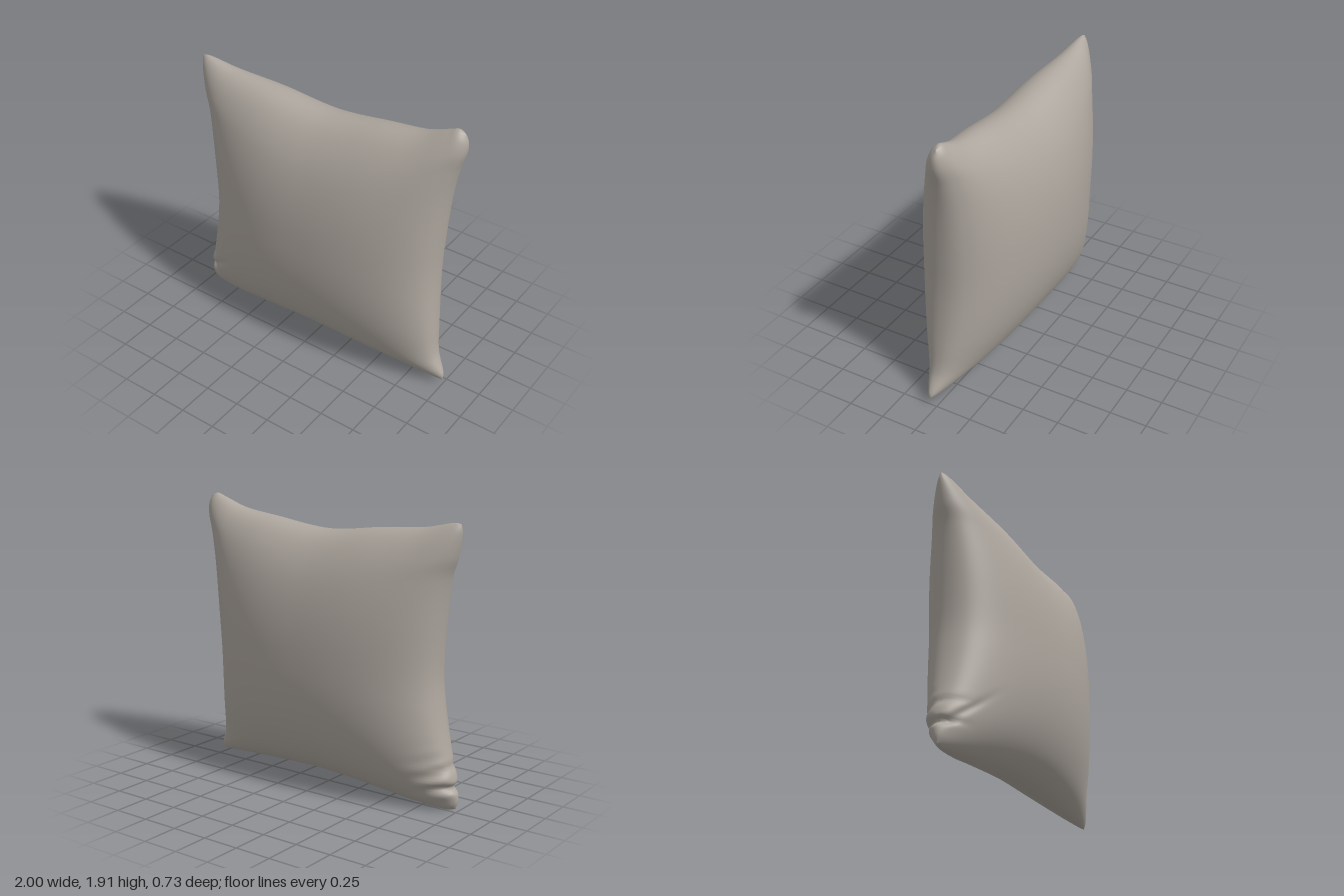
import * as THREE from 'three';
import { mergeVertices } from 'three/addons/utils/BufferGeometryUtils.js';

const N = 110; // grid cells per side
const HALF_DEPTH = 0.363;

const curve = (pts) => new THREE.CatmullRomCurve3(pts.map(([x, y]) => new THREE.Vector3(x, y, 0)));
const bell = (d, w) => Math.exp(-(d * d) / (w * w));

// Corners of the seam
const TL = [-0.99, 1.835], TR = [0.968, 1.895], BL = [-0.985, 0.018], BR = [0.995, 0.037];

// Seam outline, one curve per side
const top = curve([TL, [-0.955, 1.842], [-0.75, 1.803], [-0.4, 1.775], [-0.15, 1.745], [0, 1.737],
  [0.15, 1.748], [0.4, 1.785], [0.7, 1.832], [0.86, 1.892], [0.92, 1.914], TR]);
const bottom = curve([BL, [-0.93, 0.004], [-0.7, 0.017], [-0.45, 0.048], [0, 0.087],
  [0.4, 0.079], [0.7, 0.06], [0.95, 0.039], BR]);
const left = curve([BL, [-1, 0.07], [-0.985, 0.2], [-0.93, 0.38], [-0.875, 0.65], [-0.853, 0.86],
  [-0.873, 1.18], [-0.92, 1.5], [-0.965, 1.63], [-0.995, 1.79], TL]);
const right = curve([BR, [0.998, 0.075], [0.935, 0.21], [0.905, 0.42], [0.877, 0.8], [0.885, 1.1],
  [0.915, 1.45], [0.95, 1.64], [0.987, 1.77], [0.988, 1.84], TR]);

// Blend the four edge curves into a sheet
function sheetPoint(s, t, edges, corners) {
  const { b, tp, l, r } = edges, [bl, br, tl, tr] = corners;
  return new THREE.Vector3()
    .addScaledVector(b, 1 - t).addScaledVector(tp, t)
    .addScaledVector(l, 1 - s).addScaledVector(r, s)
    .addScaledVector(bl, -(1 - s) * (1 - t)).addScaledVector(br, -s * (1 - t))
    .addScaledVector(tl, -(1 - s) * t).addScaledVector(tr, -s * t);
}

// Slight lean of the whole cushion plus a twist local to each corner
function lean(s, t) {
  return 0.022 * (1 - 2 * t) - 0.03 * (s * t) ** 4 + 0.03 * (s * (1 - t)) ** 4
    + 0.02 * ((1 - s) * t) ** 4;
}

function cushionGeometry() {
  const corners = [BL, BR, TL, TR].map(([x, y]) => new THREE.Vector3(x, y, 0));
  const spread = (i) => Math.sin((i / N - 0.5) * Math.PI); // packs rows near the seam
  const along = (c) => Array.from({ length: N + 1 }, (_, i) => c.getPointAt((1 + spread(i)) / 2));
  const [bs, ts, ls, rs] = [bottom, top, left, right].map(along);
  const positions = [], indices = [];

  for (const side of [1, -1]) {
    const base = positions.length / 3;
    for (let j = 0; j <= N; j++) {
      for (let i = 0; i <= N; i++) {
        const u = spread(i), v = spread(j), s = (1 + u) / 2, t = (1 + v) / 2;
        const p = sheetPoint(s, t, { b: bs[i], tp: ts[i], l: ls[j], r: rs[j] }, corners);
        const rim = i % N === 0 || j % N === 0;
        let depth = rim ? 0 : HALF_DEPTH
          * (1 - Math.abs(u) ** 2.3) ** 0.45 * (1 - Math.abs(v) ** 2.2) ** 0.5;

        // Folds gathered at the lower left corner
        const { x, y } = p;
        p.x += bell(s, 0.06) * (0.035 * bell(y - 0.16, 0.022) + 0.014 * bell(y - 0.295, 0.025));
        if (!rim && side > 0) {
          const across = (y - 0.17) - 0.8 * (x + 0.95);
          depth -= Math.min(depth * 0.3, 0.016 * bell(across, 0.03) * bell(x + 0.9, 0.16));
        } else if (!rim) {
          const wave = Math.cos((y - 0.22 + 0.25 * (x + 0.95)) * 58);
          depth += Math.min(depth * 0.2, 0.013) * wave * bell(x + 0.92, 0.13) * bell(y - 0.22, 0.14);
        }
        p.z = lean(s, t) + side * depth;
        positions.push(p.x, p.y, p.z);
      }
    }
    for (let j = 0; j < N; j++) {
      for (let i = 0; i < N; i++) {
        const a = base + j * (N + 1) + i, b = a + 1, c = b + N + 1, d = a + N + 1;
        if (side > 0) indices.push(a, b, c, a, c, d);
        else indices.push(a, c, b, a, d, c);
      }
    }
  }
  let geometry = new THREE.BufferGeometry();
  geometry.setAttribute('position', new THREE.Float32BufferAttribute(positions, 3));
  geometry.setIndex(indices);
  geometry = mergeVertices(geometry, 1e-5); // weld both halves along the seam
  geometry.computeVertexNormals();
  return geometry;
}

export function createModel() {
  const fabric = new THREE.MeshStandardMaterial({ color: 0xada69e });
  fabric.name = 'warm grey fabric';
  const cushion = new THREE.Mesh(cushionGeometry(), fabric);
  cushion.name = 'cushion';
  const group = new THREE.Group();
  group.name = 'throwPillow';
  group.add(cushion);
  return group;
}
